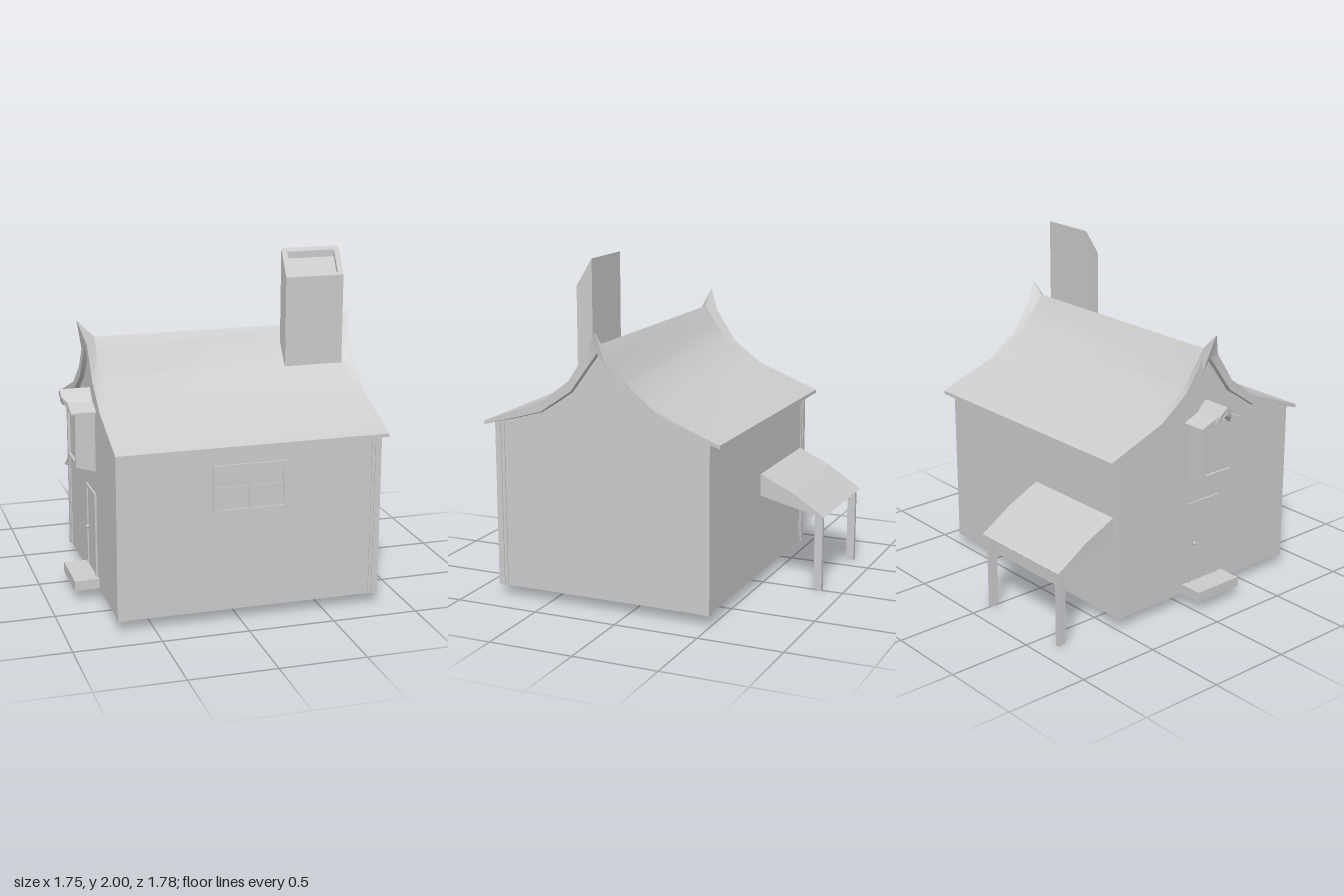
import * as THREE from 'three';
import { toCreasedNormals } from 'three/addons/utils/BufferGeometryUtils.js';

const grey = new THREE.MeshStandardMaterial({ color: 0xcccccc });

function add(parent, name, geometry) {
  const mesh = new THREE.Mesh(geometry, grey);
  mesh.name = name;
  parent.add(mesh);
  return mesh;
}

// Box given by its extents
function box(x0, x1, y0, y1, z0, z1) {
  return new THREE.BoxGeometry(x1 - x0, y1 - y0, z1 - z0)
    .translate((x0 + x1) / 2, (y0 + y1) / 2, (z0 + z1) / 2);
}

// Side profile of [z, y] points, extruded from x0 to x1
function extrudeX(profile, x0, x1) {
  const shape = new THREE.Shape(profile.map(([z, y]) => new THREE.Vector2(-z, y)));
  return new THREE.ExtrudeGeometry(shape, { depth: x1 - x0, bevelEnabled: false })
    .rotateY(Math.PI / 2).translate(x0, 0, 0);
}

// Flat frame with rectangular holes, rectangles as [u0, u1, y0, y1]
function frame(outer, holes, depth) {
  const corners = ([a, b, c, d]) => [[a, c], [b, c], [b, d], [a, d]].map(p => new THREE.Vector2(...p));
  const shape = new THREE.Shape(corners(outer));
  for (const h of holes) shape.holes.push(new THREE.Path(corners(h).reverse()));
  return new THREE.ExtrudeGeometry(shape, { depth, bevelEnabled: false });
}
const faceLeftWall = (geometry, x) => geometry.rotateY(-Math.PI / 2).translate(x, 0, 0);

// Mirror a half profile [dz, y, flare] about the ridge
const mirror = half => [...half, ...half.slice(0, -1).reverse().map(([dz, y, f]) => [-dz, y, f])];

// Solid roof lofted along x; each station has an x, a flare scale, and top and bottom half profiles
function loftRoof(stations, ridgeZ) {
  const pos = [], index = [];
  const n = stations[0].top.length * 2 - 1, m = n * 2;
  for (const { x, flare, top, bottom } of stations) {
    for (const [dz, y, f = 0] of [...mirror(top), ...mirror(bottom).reverse()])
      pos.push(x + f * flare, y, ridgeZ + (dz));
  }
  const quad = (a, b, c, d) => index.push(a, b, c, a, c, d);
  for (let s = 0; s < stations.length - 1; s++)
    for (let i = 0; i < m; i++) {
      const j = (i + 1) % m, a = s * m, b = a + m;
      quad(a + i, b + i, b + j, a + j);
    }
  const e = (stations.length - 1) * m;
  for (let i = 0; i < n - 1; i++) {
    const p = m - 1 - i;
    quad(e + i, e + p, e + p - 1, e + i + 1);
    quad(i, i + 1, p - 1, p);
  }
  const g = new THREE.BufferGeometry();
  g.setAttribute('position', new THREE.Float32BufferAttribute(pos, 3));
  g.setIndex(index);
  return toCreasedNormals(g, 0.45);
}

export function createModel() {
  const house = new THREE.Group();
  house.name = 'house';
  const ridge = 0.165;

  // Walls with gable ends
  const gable = [[0.655, 0.065], [0.655, 1.055], [0.365, 1.135], [0.165, 1.265], [0, 1.485]];
  const wallProfile = [
    ...gable.map(([d, y]) => [ridge + d, y]),
    ...gable.slice(0, -1).reverse().map(([d, y]) => [ridge - d, y]),
  ];
  add(house, 'walls', extrudeX(wallProfile, -0.7, 0.82));

  // Corner posts, each a thick post on a thinner backing strip
  for (const sx of [-1, 1]) for (const sz of [-1, 1]) {
    const post = (name, out, width) => {
      const size = width + out - 0.01;
      const cx = 0.06 + sx * (0.76 + out - size / 2);
      const cz = ridge + sz * (0.655 + out - size / 2);
      add(house, name, box(cx - size / 2, cx + size / 2, 0.065, 1.045, cz - size / 2, cz + size / 2));
    };
    post('cornerPost', 0.01, 0.035);
    post('cornerStrip', 0.005, 0.055);
  }

  // Swept roof with upturned ridge ends
  const endTop = [[0.73, 1.045], [0.36, 1.185], [0.18, 1.32], [0.06, 1.5], [0, 1.635, 0.045]];
  const endBottom = [[0.73, 1.025], [0.36, 1.13], [0.165, 1.265], [0.06, 1.41], [0, 1.49]];
  const midTop = [[0.73, 1.045], [0.315, 1.205], [0.145, 1.33], [0.06, 1.45], [0, 1.535]];
  const midBottom = [[0.73, 1.025], [0.365, 1.115], [0.165, 1.245], [0.06, 1.385], [0, 1.465]];
  const rightTop = [...endTop.slice(0, 4), [0, 1.61, 0.025]];
  add(house, 'roof', loftRoof([
    { x: -0.725, flare: -1, top: endTop, bottom: endBottom },
    { x: -0.67, flare: 0, top: midTop, bottom: midBottom },
    { x: 0.795, flare: 0, top: midTop, bottom: midBottom },
    { x: 0.845, flare: 1, top: rightTop, bottom: endBottom },
  ], ridge));

  // Chimney with slanted top and sunken opening
  const chimney = new THREE.Group();
  chimney.name = 'chimney';
  house.add(chimney);
  const side = [[0.32, 1.3], [0.32, 1.845], [0.225, 2], [0.225, 1.3]];
  const sunken = [[0.32, 1.3], [0.32, 1.845], [0.311, 1.86], [0.311, 1.82],
    [0.237, 1.94], [0.237, 1.98], [0.225, 2], [0.225, 1.3]];
  add(chimney, 'chimneySide', extrudeX(side, 0.425, 0.457));
  add(chimney, 'chimneyCore', extrudeX(sunken, 0.457, 0.743));
  add(chimney, 'chimneySide', extrudeX(side, 0.743, 0.775));

  // Front window with four panes
  const panes = [];
  for (const [a, b] of [[-0.135, 0.052], [0.062, 0.25]])
    for (const [c, d] of [[0.662, 0.782], [0.793, 0.905]]) panes.push([a, b, c, d]);
  add(house, 'windowFrame', frame([-0.16, 0.28, 0.64, 0.92], [[-0.135, 0.252, 0.66, 0.907]], 0.01).translate(0, 0, 0.82));
  add(house, 'windowBars', frame([-0.14, 0.257, 0.655, 0.91], panes, 0.006).translate(0, 0, 0.82));

  // Bay window on the side wall
  const bay = new THREE.Group();
  bay.name = 'bayWindow';
  house.add(bay);
  const bayShape = new THREE.Shape([[-0.8, 0.797], [-0.69, 0.768], [-0.69, 1.145], [-0.8, 1.145]]
    .map(p => new THREE.Vector2(...p)));
  add(bay, 'bayBody', new THREE.ExtrudeGeometry(bayShape, { depth: 0.24, bevelEnabled: false }).translate(0, 0, 0.04));
  add(bay, 'bayFrame', faceLeftWall(frame([0.04, 0.28, 0.8, 1.14], [[0.065, 0.255, 0.83, 1.11]], 0.015), -0.8));
  const canopyTop = [[0.16, 1.135], [0.06, 1.175], [0.035, 1.205, 0.03], [0, 1.24, 0.03]];
  const canopyBottom = [[0.16, 1.125], [0.06, 1.13], [0.035, 1.16, 0.015], [0, 1.19, 0.03]];
  add(bay, 'bayRoof', loftRoof([
    { x: -0.845, flare: -1, top: canopyTop, bottom: canopyBottom },
    { x: -0.69, flare: 0, top: canopyTop, bottom: canopyBottom },
  ], 0.16));

  // Side door, knob and step
  add(house, 'doorFrame', faceLeftWall(frame([0.04, 0.28, 0.125, 0.63], [[0.06, 0.26, 0.126, 0.61]], 0.01), -0.7));
  add(house, 'door', box(-0.704, -0.69, 0.125, 0.61, 0.065, 0.255));
  add(house, 'doorKnob', new THREE.SphereGeometry(0.011, 12, 8).translate(-0.713, 0.37, 0.085));
  add(house, 'doorStep', box(-0.845, -0.69, 0.065, 0.125, 0, 0.32));

  // Lean-to porch at the back
  const porch = new THREE.Group();
  porch.name = 'porch';
  house.add(porch);
  add(porch, 'porchRoof', extrudeX(
    [[-0.48, 0.68], [-0.5, 0.675], [-0.69, 0.585], [-0.89, 0.458], [-0.885, 0.453], [-0.5, 0.545], [-0.48, 0.55]], -0.655, 0.035));
  for (const x of [-0.637, -0.012])
    add(porch, 'porchPost', extrudeX([[-0.825, 0.012], [-0.825, 0.475], [-0.873, 0.462], [-0.873, 0]], x, x + 0.03));

  return house;
}
